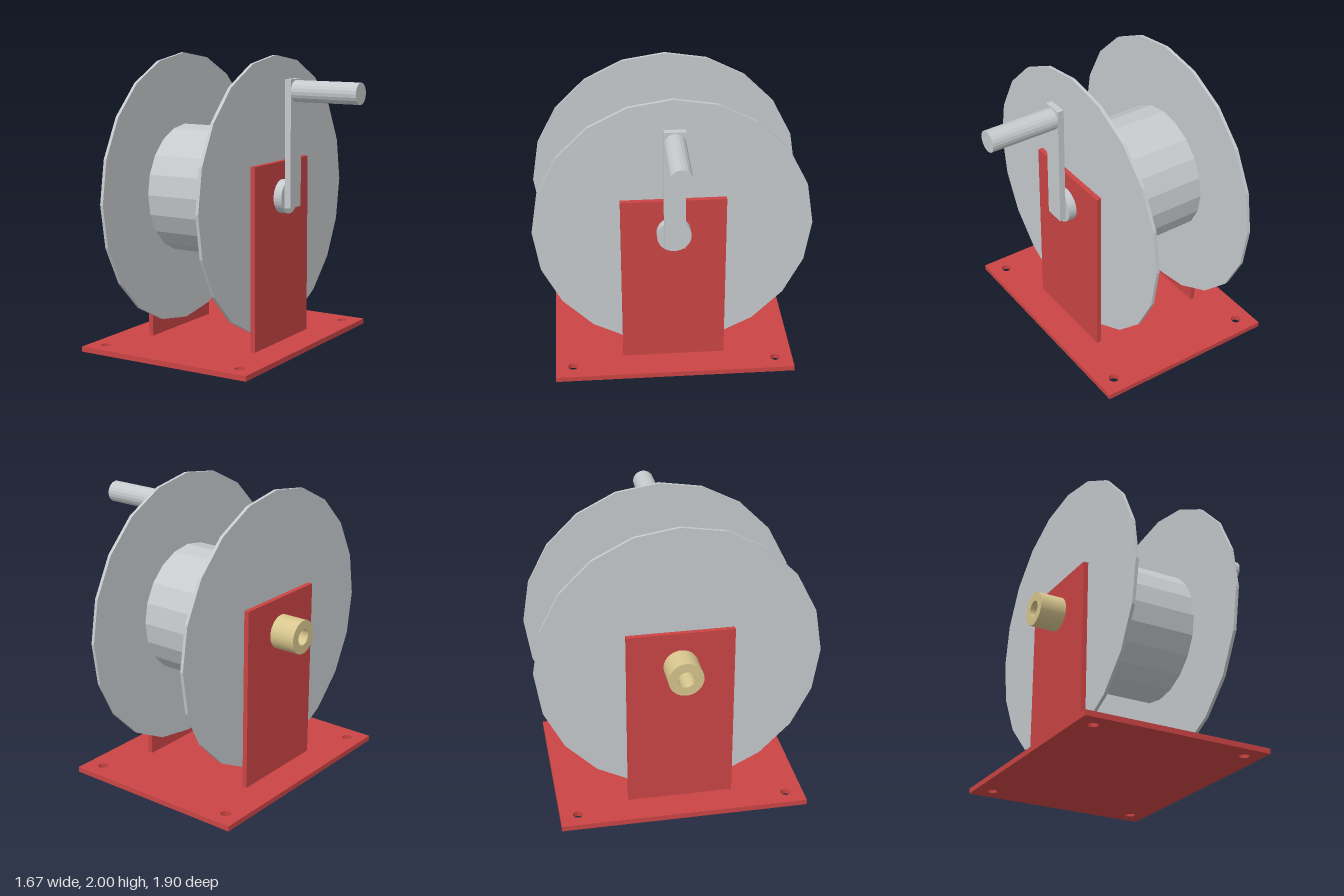
import * as THREE from 'three';

const AXIS_Y = 1.05;

export function createModel() {
  const group = new THREE.Group();
  group.name = 'handCrankReel';

  const material = (name, color) => {
    const m = new THREE.MeshStandardMaterial({ color, flatShading: true });
    m.name = name;
    return m;
  };
  const red = material('red paint', 0xca4444);
  const steel = material('grey steel', 0xc6cacd);
  const brass = material('brass', 0xd8c68e);

  const add = (name, geometry, mat) => {
    const mesh = new THREE.Mesh(geometry, mat);
    mesh.name = name;
    group.add(mesh);
    return mesh;
  };

  // Cylinder along x between two x positions
  const rod = (name, x0, x1, radius, mat, y = AXIS_Y, sides = 20) => {
    const g = new THREE.CylinderGeometry(radius, radius, x1 - x0, sides);
    g.rotateZ(-Math.PI / 2);
    return add(name, g.translate((x0 + x1) / 2, y, 0), mat);
  };

  // Box from ranges in x and y, centred on z
  const slab = (name, x0, x1, y0, y1, depth, mat) => {
    const g = new THREE.BoxGeometry(x1 - x0, y1 - y0, depth);
    return add(name, g.translate((x0 + x1) / 2, (y0 + y1) / 2, 0), mat);
  };

  // Base plate with four bolt holes
  const plate = new THREE.Shape();
  plate.moveTo(-0.835, -0.835);
  plate.lineTo(0.47, -0.835);
  plate.lineTo(0.47, 0.835);
  plate.lineTo(-0.835, 0.835);
  plate.closePath();
  for (const x of [-0.72, 0.352]) {
    for (const z of [-0.715, 0.715]) {
      const hole = new THREE.Path();
      hole.absarc(x, z, 0.034, 0, Math.PI * 2, true);
      plate.holes.push(hole);
    }
  }
  const base = new THREE.ExtrudeGeometry(plate, { depth: 0.036, bevelEnabled: false, curveSegments: 20 });
  add('basePlate', base.rotateX(-Math.PI / 2), red);

  // Upright supports
  slab('rightSupport', -0.617, -0.583, 0.036, 1.287, 0.714, red);
  slab('leftSupport', 0.215, 0.25, 0.036, 1.287, 0.714, red);

  // Spool: axle, drum and two flanges
  rod('axle', -0.62, 0.25, 0.072, steel);
  rod('drum', -0.545, 0.175, 0.45, steel);
  rod('rightFlange', -0.566, -0.544, 0.95, steel);
  rod('leftFlange', 0.174, 0.196, 0.95, steel);

  // Hollow brass inlet
  const ring = new THREE.Shape();
  ring.absarc(0, 0, 0.116, 0, Math.PI * 2, false);
  const bore = new THREE.Path();
  bore.absarc(0, 0, 0.055, 0, Math.PI * 2, true);
  ring.holes.push(bore);
  const inlet = new THREE.ExtrudeGeometry(ring, { depth: 0.18, bevelEnabled: false, curveSegments: 20 });
  add('inletFitting', inlet.rotateY(Math.PI / 2).translate(-0.797, AXIS_Y, 0), brass);

  // Crank: collar, arm and handle
  rod('crankCollar', 0.25, 0.31, 0.116, steel, AXIS_Y, 32);
  slab('crankArm', 0.31, 0.354, 0.98, 1.846, 0.142, steel);
  rod('crankHandle', 0.354, 0.833, 0.073, steel, 1.765);

  return group;
}
